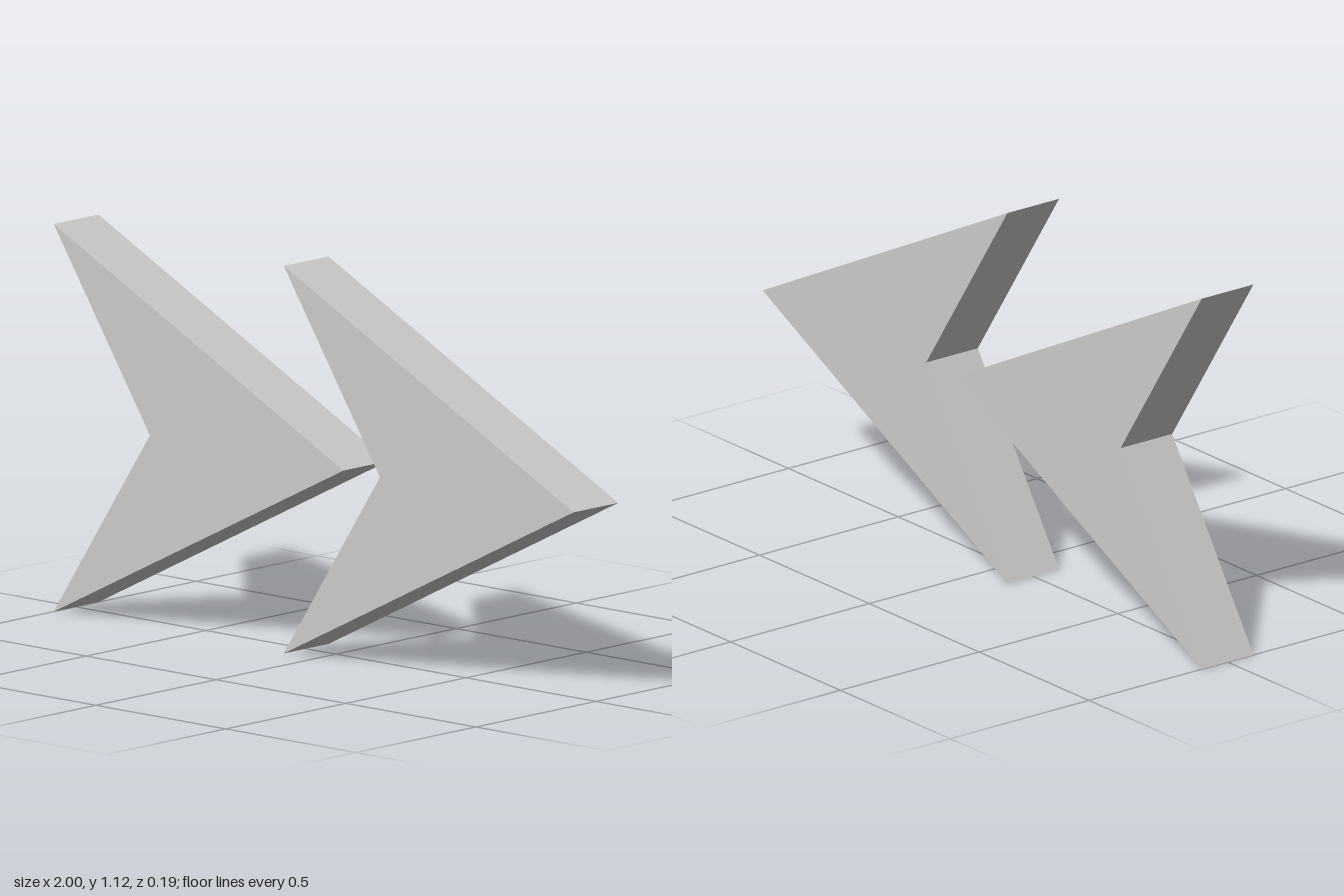
import * as THREE from 'three';

const HEIGHT = 1.117;
const DEPTH = 0.186;
const LENGTH = 1.115; // tail to tip
const NOTCH = 0.37; // depth of the rear notch

// Solid arrowhead pointing along +x, tail at x = 0, centred on z
function arrowheadGeometry() {
  const shape = new THREE.Shape([
    new THREE.Vector2(0, 0),
    new THREE.Vector2(LENGTH, HEIGHT / 2),
    new THREE.Vector2(0, HEIGHT),
    new THREE.Vector2(NOTCH, HEIGHT / 2),
  ]);
  const geometry = new THREE.ExtrudeGeometry(shape, { depth: DEPTH, bevelEnabled: false });
  return geometry.translate(0, 0, -DEPTH / 2);
}

export function createModel() {
  const model = new THREE.Group();
  model.name = 'doubleArrow';
  const material = new THREE.MeshStandardMaterial({ color: 0xcccccc, flatShading: true });
  const geometry = arrowheadGeometry();

  // Two identical arrowheads, one behind the other
  for (const [name, x] of [['rearArrowhead', -1], ['leadingArrowhead', 1 - LENGTH]]) {
    const arrowhead = new THREE.Mesh(geometry, material);
    arrowhead.name = name;
    arrowhead.position.x = x;
    model.add(arrowhead);
  }
  return model;
}
